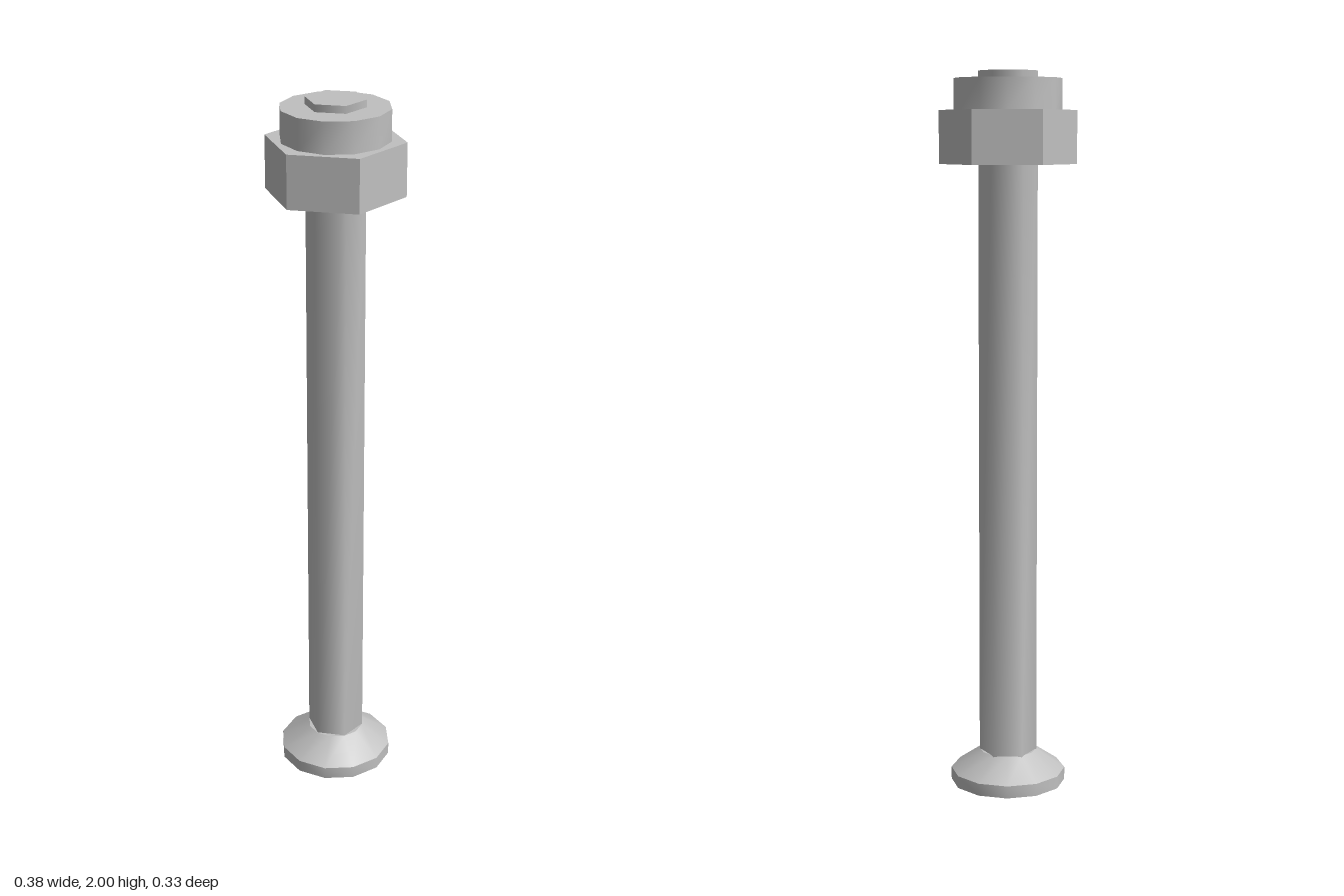
import * as THREE from 'three';
import { toCreasedNormals } from 'three/addons/utils/BufferGeometryUtils.js';

const steel = new THREE.MeshStandardMaterial({ color: 0xc0c0c0 });
steel.name = 'steel grey';

// Upright prism or cone frustum between two heights, with a corner on the x axis
function prism(name, sides, rBottom, rTop, y0, y1, crease) {
  const geo = new THREE.CylinderGeometry(rTop, rBottom, y1 - y0, sides, 1, false, Math.PI / 2);
  geo.translate(0, (y0 + y1) / 2, 0);
  const mesh = new THREE.Mesh(toCreasedNormals(geo, crease), steel);
  mesh.name = name;
  return mesh;
}

// Flat rim of the screw head, pierced by a cross-shaped driver recess
function headRim(radius, height, arm, half) {
  const corners = [];
  for (let i = 0; i < 12; i++) {
    const a = (i * Math.PI) / 6;
    corners.push(new THREE.Vector2(radius * Math.cos(a), radius * Math.sin(a)));
  }
  const shape = new THREE.Shape(corners);
  const cross = [];
  for (let i = 0; i < 4; i++) {
    for (const [x, y] of [[arm, -half], [arm, half], [half, half]]) {
      cross.push(new THREE.Vector2(x, y).rotateAround(new THREE.Vector2(), (i * Math.PI) / 2));
    }
  }
  shape.holes.push(new THREE.Path(cross.reverse()));
  const geo = new THREE.ExtrudeGeometry(shape, { depth: height, bevelEnabled: false });
  geo.rotateX(-Math.PI / 2);
  const mesh = new THREE.Mesh(toCreasedNormals(geo, 0.6), steel);
  mesh.name = 'headRim';
  return mesh;
}

export function createModel() {
  const bolt = new THREE.Group();
  bolt.name = 'boltWithNut';

  // Countersunk head; the underside of the cone is the floor of the recess
  bolt.add(headRim(0.162, 0.035, 0.125, 0.035));
  bolt.add(prism('headCone', 12, 0.162, 0.08, 0.035, 0.092, 0.6));

  // Smooth six-sided shaft, slightly off centre, poking out past the nut
  const shaft = prism('shaft', 6, 0.081, 0.081, 0.07, 2, 1.2);
  shaft.position.set(0.003, 0, -0.002);
  bolt.add(shaft);

  // Hex nut with its round collar
  bolt.add(prism('hexNut', 6, 0.188, 0.188, 1.75, 1.895, 0.1));
  bolt.add(prism('nutCollar', 12, 0.147, 0.147, 1.895, 1.98, 0.6));
  return bolt;
}
